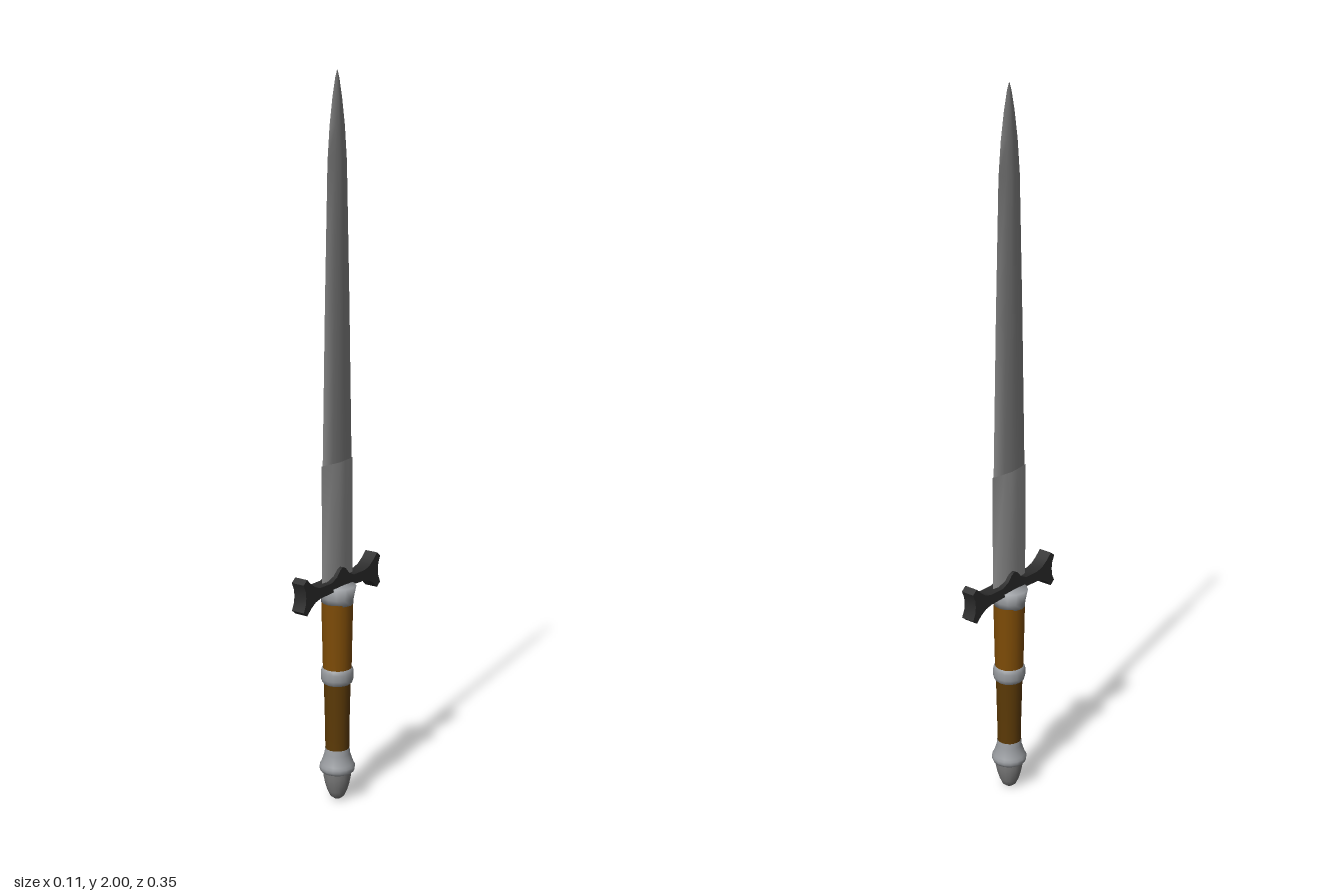
import * as THREE from 'three';
import { toCreasedNormals } from 'three/addons/utils/BufferGeometryUtils.js';

const bladeSteel = new THREE.MeshStandardMaterial({ color: 0x858585, side: THREE.DoubleSide });
const sleeveSteel = new THREE.MeshStandardMaterial({ color: 0x9a9a9a, side: THREE.DoubleSide });
const fittingSteel = new THREE.MeshStandardMaterial({ color: 0x999ca0 });
const tipSteel = new THREE.MeshStandardMaterial({ color: 0x7c7c7c });
const wood = new THREE.MeshStandardMaterial({ color: 0x7e4c06 });
const darkWood = new THREE.MeshStandardMaterial({ color: 0x5c3a06 });
const iron = new THREE.MeshStandardMaterial({ color: 0x2c2c2c });

function add(group, name, geometry, material) {
  const mesh = new THREE.Mesh(geometry, material);
  mesh.name = name;
  group.add(mesh);
  return mesh;
}

// Turned part from [radius, y] pairs, listed bottom to top
function turned(points, sides = 16) {
  return new THREE.LatheGeometry(points.map(([r, y]) => new THREE.Vector2(r, y)), sides);
}

// Smooth skin over lens-shaped sections [y, halfThickness, halfWidth]
function bladeSkin(sections) {
  const rings = sections.map(([y, t, w]) => [
    [0, y, w], [t * 0.7, y, w * 0.4], [t, y, 0], [t * 0.7, y, -w * 0.4],
    [0, y, -w], [-t * 0.7, y, -w * 0.4], [-t, y, 0], [-t * 0.7, y, w * 0.4],
  ]);
  const n = 8, index = [];
  for (let i = 0; i < rings.length - 1; i++) {
    for (let j = 0; j < n; j++) {
      const a = i * n + j, b = i * n + (j + 1) % n;
      index.push(a, b, b + n, a, b + n, a + n);
    }
  }
  const geometry = new THREE.BufferGeometry();
  geometry.setAttribute('position', new THREE.Float32BufferAttribute(rings.flat(2), 3));
  geometry.setIndex(index);
  geometry.computeVertexNormals();
  return geometry;
}

export function createModel() {
  const dagger = new THREE.Group();
  dagger.name = 'dagger';

  // Blade and the sleeve around its base
  add(dagger, 'blade', bladeSkin([
    [0.64, 0.008, 0.066], [0.97, 0.008, 0.065], [1.4, 0.008, 0.054], [1.77, 0.0075, 0.042],
    [1.86, 0.0065, 0.033], [1.93, 0.005, 0.021], [1.98, 0.0025, 0.009], [2.0, 0.0005, 0.001],
  ]), bladeSteel);
  add(dagger, 'bladeSleeve', bladeSkin([[0.63, 0.0105, 0.07], [0.975, 0.01, 0.069]]), sleeveSteel);

  // Crossguard: mirrored outline with flared, hollowed ends
  const half = [
    [0, 0.683], [0.012, 0.678], [0.027, 0.661], [0.05, 0.65], [0.1, 0.65], [0.122, 0.656],
    [0.142, 0.67], [0.16, 0.687], [0.175, 0.675], [0.166, 0.655], [0.164, 0.637],
    [0.166, 0.618], [0.175, 0.598], [0.16, 0.586], [0.142, 0.603], [0.122, 0.615],
    [0.1, 0.62], [0.05, 0.622], [0, 0.622],
  ];
  const mirrored = half.slice(1, -1).reverse().map(([z, y]) => [-z, y]);
  const outline = new THREE.Shape([...half, ...mirrored].map(([z, y]) => new THREE.Vector2(z, y)));
  const guard = new THREE.ExtrudeGeometry(outline, { depth: 0.04, bevelEnabled: false });
  guard.translate(0, 0, -0.02);
  guard.rotateY(Math.PI / 2);
  add(dagger, 'crossguard', toCreasedNormals(guard, 0.8), iron);

  // Collar under the guard, slightly wider in x
  const collar = add(dagger, 'collar', turned([
    [0, 0.578], [0.043, 0.578], [0.044, 0.595], [0.051, 0.63], [0, 0.632],
  ], 12), fittingSteel);
  collar.scale.set(1.07, 1, 0.95);

  // Two wooden grips with a ring between them
  add(dagger, 'upperGrip', turned([[0.04, 0.37], [0.041, 0.43], [0.043, 0.52], [0.044, 0.582]]), wood);
  add(dagger, 'lowerGrip', turned([[0.034, 0.145], [0.034, 0.2], [0.036, 0.28], [0.038, 0.365]]), darkWood);
  add(dagger, 'gripRing', turned([
    [0.036, 0.345], [0.042, 0.35], [0.046, 0.362], [0.046, 0.38], [0.043, 0.39], [0.039, 0.393],
  ]), fittingSteel);

  // Pommel: flared ferrule, rim and rounded end
  add(dagger, 'pommelFerrule', turned([
    [0.04, 0.084], [0.047, 0.086], [0.05, 0.094], [0.05, 0.102], [0.046, 0.109],
    [0.041, 0.122], [0.036, 0.138], [0.035, 0.153], [0.033, 0.155], [0, 0.155],
  ]), fittingSteel);
  add(dagger, 'pommelTip', turned([
    [0, 0], [0.01, 0.002], [0.02, 0.01], [0.028, 0.027], [0.035, 0.05], [0.039, 0.07], [0.04, 0.09],
  ]), tipSteel);

  return dagger;
}
